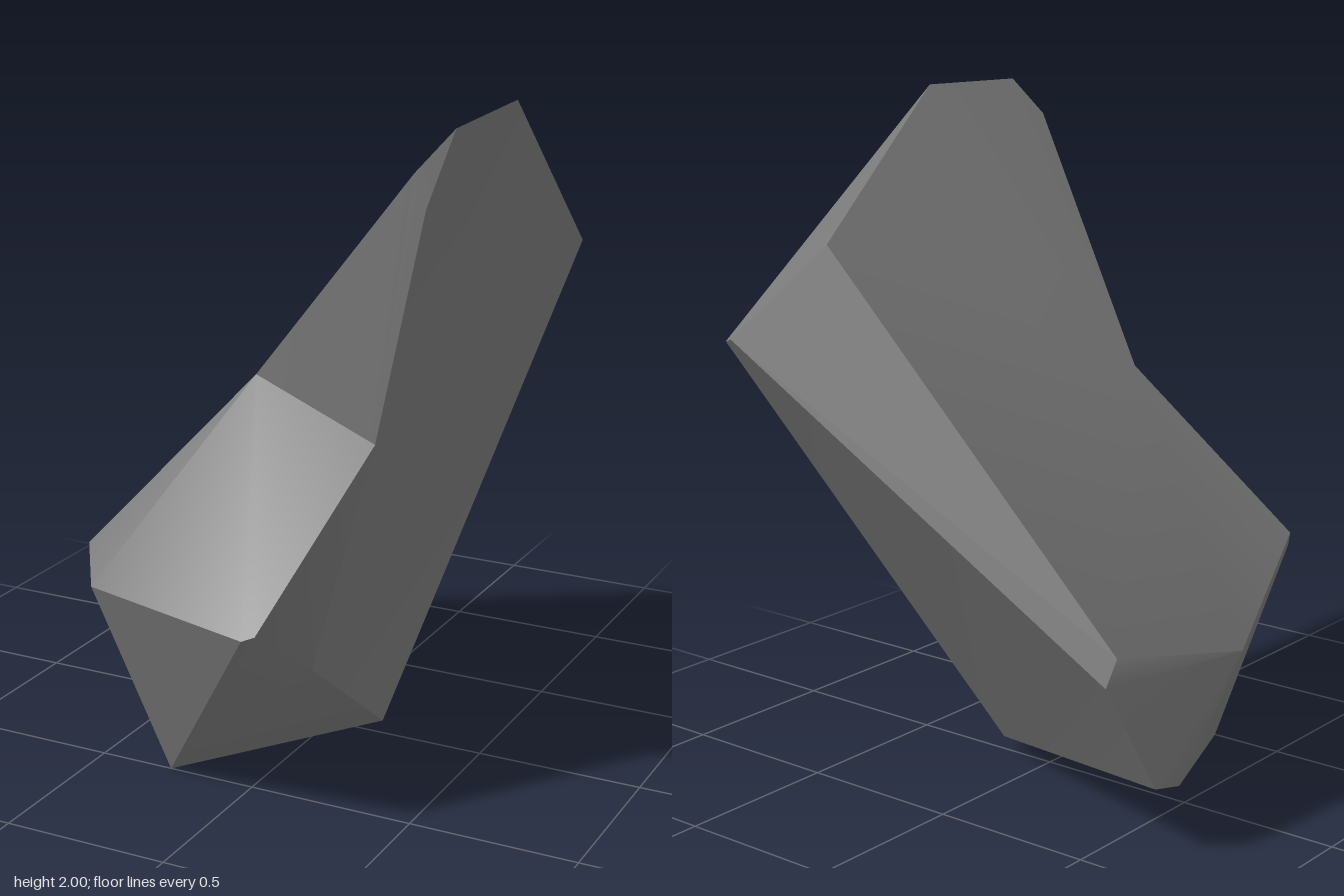
import * as THREE from 'three';
import { toCreasedNormals } from 'three/addons/utils/BufferGeometryUtils.js';

// Corners of the leaning rock, one letter each
const corners = {
  // upper tip
  A: [0.67, 2.0, 0.25], B: [0.68, 1.99, 0.67], C: [0.59, 1.88, 0.715], D: [0.62, 1.79, 0.71],
  // back ridge
  E: [0.31, 1.64, -0.6], F: [0.43, 1.4, -0.86], G: [0.46, 1.39, -0.85],
  // low side of the slanted slab
  H: [-0.62, 0.61, -0.5], L: [-0.69, 0.51, 0], M: [-0.49, 0.69, 0.56],
  X: [-0.62, 0.54, -0.55], W: [-0.65, 0.2, -0.36], U: [-0.66, 0.18, -0.26],
  // front notch and front ledge
  N: [-0.06, 1.19, 0.34], Q: [0.41, 1.11, 0.55], T: [-0.41, 0.61, 0.68],
  J: [0.17, 0.62, 0.86], R: [0.2, 0.63, 0.84], S: [0.22, 0.43, 0.55],
  // foot
  V: [-0.27, 0, 0.5], P: [0.18, 0.04, 0],
};

// Facets, counter-clockwise from outside, fanned from the first corner
const facets = [
  'NCBAEHLM',                                  // slanted top
  'MLUVT', 'TVJ', 'VPSRJ',                     // broken front
  'NMT', 'NTJ', 'NJR', 'NRQ', 'NQC', 'CQD',    // hollow above the ledge
  'BCD', 'ABD', 'ADQ', 'AQG', 'GQS', 'GSP', 'QRS', // overhanging side
  'EAGF', 'HEFX', 'LHXWU',                     // back bevels
  'VUWP', 'PWX', 'PXFG',                       // underside
];

export function createModel() {
  const positions = [];
  for (const f of facets)
    for (let i = 1; i < f.length - 1; i++)
      for (const k of [f[0], f[i], f[i + 1]]) positions.push(...corners[k]);

  const geometry = new THREE.BufferGeometry();
  geometry.setAttribute('position', new THREE.Float32BufferAttribute(positions, 3));

  const stone = new THREE.MeshStandardMaterial({ color: 0x787878 });
  stone.name = 'grey stone';

  const rock = new THREE.Mesh(toCreasedNormals(geometry, 0.7), stone);
  rock.name = 'rock';

  const group = new THREE.Group();
  group.name = 'leaningRock';
  group.add(rock);
  return group;
}
